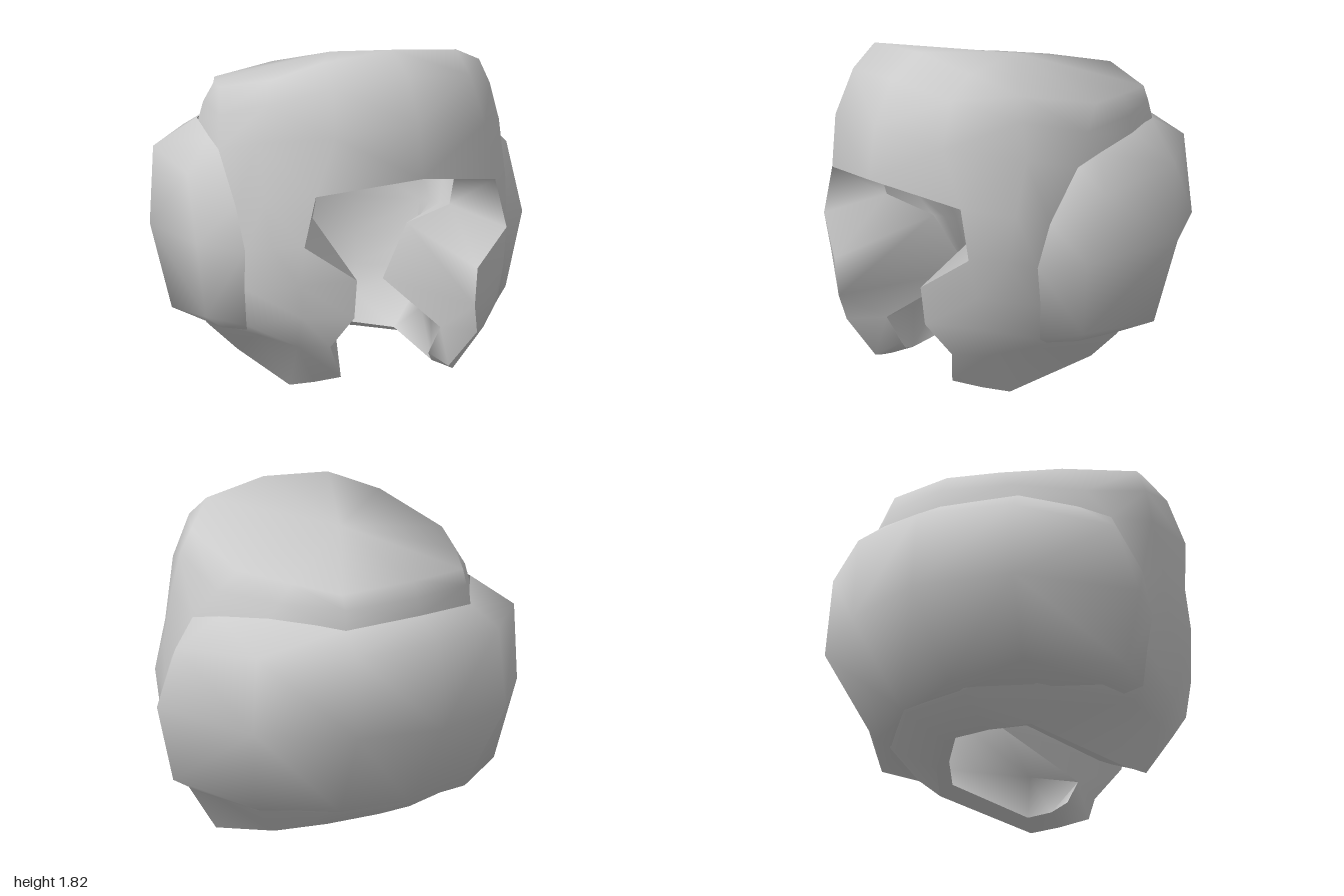
import * as THREE from 'three';
import { toCreasedNormals } from 'three/addons/utils/BufferGeometryUtils.js';

// Half cross-sections (+x side): each row runs from front centre to back centre.
const crown = [
  Array(7).fill([0, 1.70, -.05]),
  [[0, 1.82, .62], [.41, 1.78, .59], [.64, 1.68, .43], [.69, 1.57, -.05], [.55, 1.54, -.35], [.41, 1.51, -.6], [0, 1.54, -.7]],
  [[0, 1.70, .80], [.42, 1.66, .73], [.69, 1.55, .46], [.75, 1.44, .06], [.63, 1.44, -.33], [.41, 1.43, -.63], [0, 1.45, -.73]],
  [[0, 1.46, .92], [.46, 1.41, .82], [.74, 1.35, .47], [.82, 1.28, .18], [.68, 1.34, -.3], [.42, 1.33, -.65], [0, 1.36, -.76]],
  [[0, 1.17, .96], [.55, 1.09, .77], [.74, 1.05, .54], [.82, 1.0, .37], [.8, 1.0, -.3], [.5, 1.0, -.65], [0, 1.0, -.76]],
];
// Cheeks and neck: rows run from the face opening to back centre.
const jaw = [
  crown[4].slice(1),
  [[.62, .82, .77], [.72, .8, .59], [.8, .76, .44], [.8, .8, -.3], [.5, .8, -.65], [0, .8, -.76]],
  [[.37, .64, .90], [.62, .6, .72], [.79, .55, .43], [.8, .58, -.3], [.5, .58, -.62], [0, .58, -.74]],
  [[.37, .43, .87], [.59, .42, .69], [.77, .35, .4], [.76, .42, -.25], [.47, .42, -.57], [0, .42, -.7]],
  [[.45, .26, .75], [.57, .25, .60], [.69, .29, .38], [.68, .26, -.2], [.42, .27, -.5], [0, .29, -.64]],
  [[.33, .07, .65], [.42, .03, .52], [.5, 0, .39], [.52, .11, -.15], [.28, .14, -.3], [0, .17, -.4]],
];
// Bulging shell wrapped round the sides and back, flush with the cheeks in front.
const back = [
  [[.82, 1.28, .18], [.78, 1.32, 0], [.68, 1.36, -.31], [.42, 1.33, -.64], [0, 1.36, -.76]],
  [[.82, 1.0, .37], [.98, 1.15, .12], [.87, 1.2, -.45], [.48, 1.22, -.82], [0, 1.24, -.92]],
  [[.8, .76, .44], [1, .79, .26], [.89, .78, -.45], [.5, .78, -.86], [0, .77, -.96]],
  [[.77, .35, .40], [.92, .38, .22], [.81, .33, -.35], [.42, .3, -.6], [0, .3, -.66]],
  [[.69, .31, .38], [.78, .30, .15], [.66, .26, -.2], [.38, .27, -.48], [0, .29, -.6]],
];
// Inner ridge of the face opening, from below the brow to the chin.
const ridge = [[.42, 1.07, .55], [.42, .92, .5], [.27, .8, .3], [.25, .46, .07], [.32, .27, .58], [.29, .12, .5]];

// Lining: the outer rows drawn inwards, under a lower roof.
const shrink = rows => rows.map(r => r.map(([x, y, z]) =>
  [x * .82, y > 1.17 ? 1.15 + (y - 1.17) * .6 : .04 + y * .95, z * .83]));
const crownIn = shrink(crown), jawIn = shrink(jaw);
const mix = (a, b, t) => a.map((v, i) => v + (b[i] - v) * t);
jawIn.forEach((row, i) => {
  row[0] = ridge[i];
  // Thick cheek pads: the wall runs straight back from the ridge to the side.
  if (i < 5) for (const j of [1, 2]) row[j] = mix(ridge[i], row[3], j / 3);
});
crownIn[4] = [[0, 1.15, .72], ...jawIn[0]];

// Skin a grid of points on both sides of the mirror plane, splitting quads on the shorter diagonal.
function skin(rows, inward = false) {
  const pos = [];
  const vec = p => new THREE.Vector3(...p);
  const tri = (p, q, r) => {
    const [a, b, c] = [p, q, r].map(vec);
    if (b.sub(a).cross(c.sub(a)).lengthSq() < 1e-12) return;
    const mirrored = [r, q, p].map(([x, y, z]) => [-x, y, z]);
    for (const t of [[p, q, r], mirrored]) pos.push(...(inward ? t.reverse() : t).flat());
  };
  for (let i = 0; i < rows.length - 1; i++) {
    for (let j = 0; j < rows[i].length - 1; j++) {
      const a = rows[i][j], b = rows[i + 1][j], c = rows[i + 1][j + 1], d = rows[i][j + 1];
      if (vec(a).distanceTo(vec(c)) < vec(b).distanceTo(vec(d))) {
        tri(a, b, c);
        tri(a, c, d);
      } else {
        tri(a, b, d);
        tri(b, c, d);
      }
    }
  }
  return pos;
}

export function createModel() {
  const group = new THREE.Group();
  group.name = 'helmet';
  const material = new THREE.MeshStandardMaterial({ color: 0xcccccc, side: THREE.DoubleSide });
  const add = (name, pos) => {
    const geometry = new THREE.BufferGeometry();
    geometry.setAttribute('position', new THREE.Float32BufferAttribute(pos, 3));
    const mesh = new THREE.Mesh(toCreasedNormals(geometry, 1.5), material);
    mesh.name = name;
    group.add(mesh);
  };

  add('outerShell', [...skin(crown), ...skin(jaw)]);
  add('lining', [...skin(crownIn, true), ...skin(jawIn, true)]);
  add('backShell', skin(back));

  // Rim joins shell and lining round the face opening and the neck.
  const rim = (top, low) => [top[4][0], ...low.map(r => r[0]), ...low[5].slice(1)];
  add('rim', skin([rim(crown, jaw), rim(crownIn, jawIn)]));
  return group;
}
